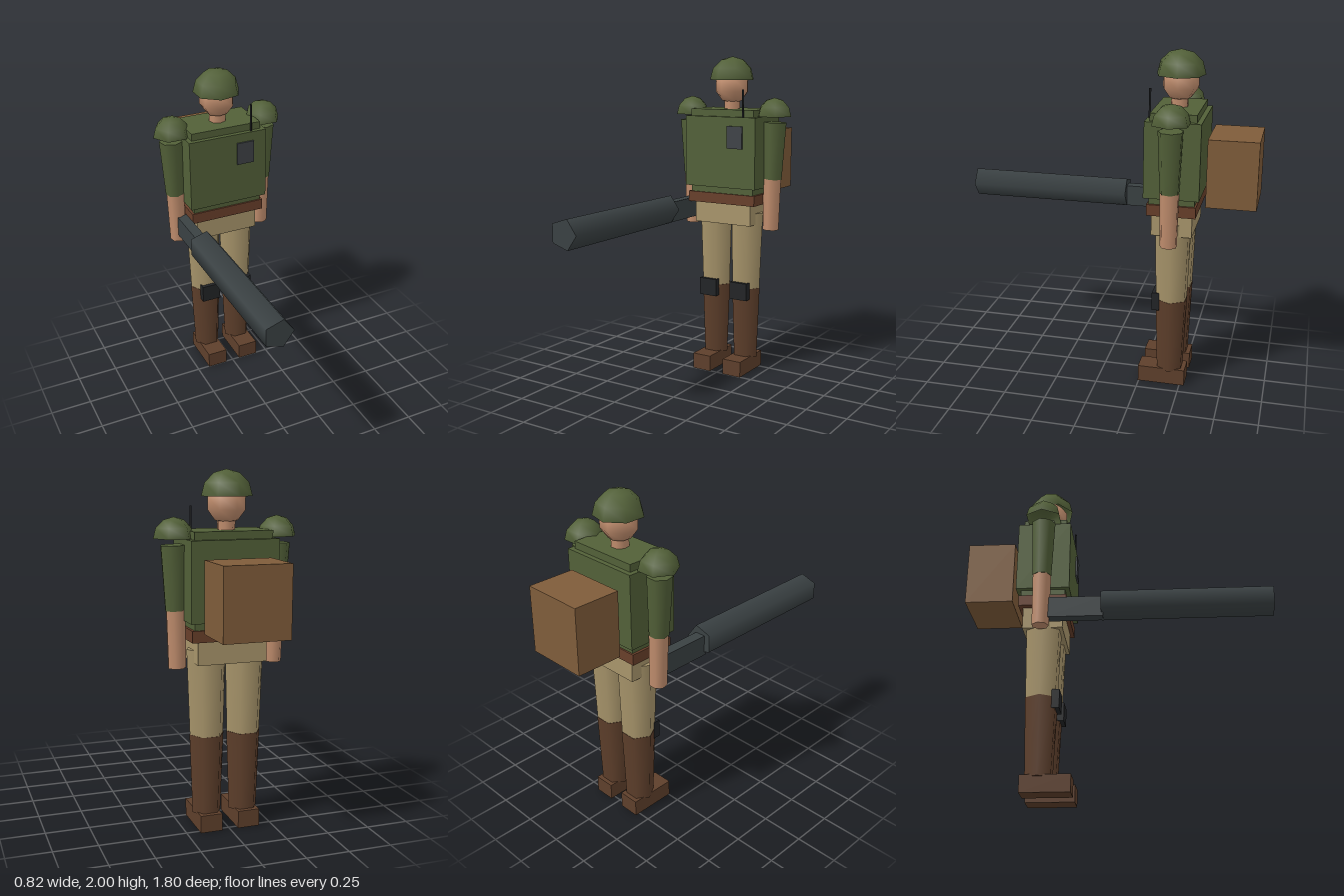
import * as THREE from 'three';

const mat = (name, color, side = THREE.FrontSide) => {
  const m = new THREE.MeshStandardMaterial({ color, side });
  m.name = name;
  return m;
};

export function createModel() {
  const green = mat('olive cloth', 0x526038, THREE.DoubleSide);
  const skin = mat('skin', 0xc08d6d);
  const khaki = mat('khaki trousers', 0xa8956b);
  const belt = mat('belt leather', 0x683f2a);
  const boot = mat('boot leather', 0x5e3f2b);
  const canvas = mat('pack canvas', 0x7f5c3a);
  const metal = mat('gun metal', 0x3a4143);
  const device = mat('radio grey', 0x3e4246);
  const black = mat('black rubber', 0x222426);

  const model = new THREE.Group();
  const Z = -0.43; // the figure stands behind the centre, the weapon reaches forward

  const add = (name, geometry, material) => {
    const mesh = new THREE.Mesh(geometry, material);
    mesh.name = name;
    model.add(mesh);
    return mesh;
  };
  // Box from its lower and upper limits on each axis
  const box = (name, material, [x0, x1], [y0, y1], [z0, z1]) =>
    add(name, new THREE.BoxGeometry(x1 - x0, y1 - y0, z1 - z0), material)
      .position.set((x0 + x1) / 2, (y0 + y1) / 2, (z0 + z1) / 2);
  // Tapered limb between two heights, with an optional sideways lean
  const limb = (name, material, sides, [xTop, yTop, rTop], [xBot, yBot, rBot], turn = 0) => {
    const h = yTop - yBot;
    const g = new THREE.CylinderGeometry(rTop, rBot, h, sides);
    g.rotateY(turn);
    const m = add(name, g, material);
    m.position.set((xTop + xBot) / 2, (yTop + yBot) / 2, Z);
    m.rotation.z = -Math.atan2(xTop - xBot, h);
  };
  // Open half sphere
  const dome = (name, r, sides, x, y, turn) => {
    const g = new THREE.SphereGeometry(r, sides, 3, 0, Math.PI * 2, 0, Math.PI / 2);
    g.rotateY(turn);
    add(name, g, green).position.set(x, y, Z);
  };

  // Head, helmet and neck
  const head = add('head', new THREE.SphereGeometry(0.11, 7, 5), skin);
  head.position.set(0, 1.82, Z);
  head.rotation.y = Math.PI;
  dome('helmet', 0.142, 7, 0, 1.858, Math.PI);
  limb('neck', skin, 7, [0, 1.76, 0.05], [0, 1.66, 0.05]);

  // Torso layers
  box('shirt', green, [-0.22, 0.22], [1.15, 1.68], [-0.56, -0.30]);
  box('vest', green, [-0.247, 0.247], [1.2, 1.637], [-0.588, -0.273]);
  box('belt', belt, [-0.235, 0.235], [1.095, 1.16], [-0.57, -0.29]);
  box('hips', khaki, [-0.197, 0.197], [0.965, 1.1], [-0.547, -0.313]);

  // Arms and legs, mirrored
  for (const s of [-1, 1]) {
    const side = s > 0 ? 'left' : 'right';
    dome(side + 'ShoulderPad', 0.113, 6, s * 0.295, 1.64, 0);
    limb(side + 'Sleeve', green, 7, [s * 0.30, 1.605, 0.071], [s * 0.29, 1.255, 0.056]);
    limb(side + 'Forearm', skin, 7, [s * 0.287, 1.257, 0.055], [s * 0.281, 0.938, 0.05]);
    limb(side + 'Thigh', khaki, 6, [s * 0.112, 1.036, 0.113], [s * 0.109, 0.55, 0.098], Math.PI / 2);
    limb(side + 'BootShaft', boot, 6, [s * 0.109, 0.55, 0.1], [s * 0.109, 0.09, 0.083], Math.PI / 2);
    const c = s * 0.111;
    box(side + 'Shoe', boot, [c - 0.063, c + 0.063], [0, 0.1], [-0.528, -0.245]);
    box(side + 'KneePad', black, [c - 0.06, c + 0.06], [0.482, 0.592], [-0.365, -0.321]);
  }

  // Chest radio and its antenna
  box('radio', device, [0.055, 0.162], [1.445, 1.582], [-0.3, -0.262]);
  const antenna = add('antenna', new THREE.CylinderGeometry(0.006, 0.007, 0.24, 5), black);
  antenna.position.set(0.154, 1.683, -0.288);

  // Backpack
  box('backpack', canvas, [-0.185, 0.185], [1.15, 1.54], [-0.9, -0.617]);

  // Heavy weapon: five-sided barrel with a square grip section
  const barrel = new THREE.CylinderGeometry(0.09, 0.09, 0.98, 5);
  barrel.rotateY(Math.PI / 2).rotateX(Math.PI / 2);
  add('barrel', barrel, metal).position.set(-0.261, 1.07, 0.41);
  box('weaponGrip', metal, [-0.297, -0.234], [0.985, 1.11], [-0.4, -0.07]);

  return model;
}
